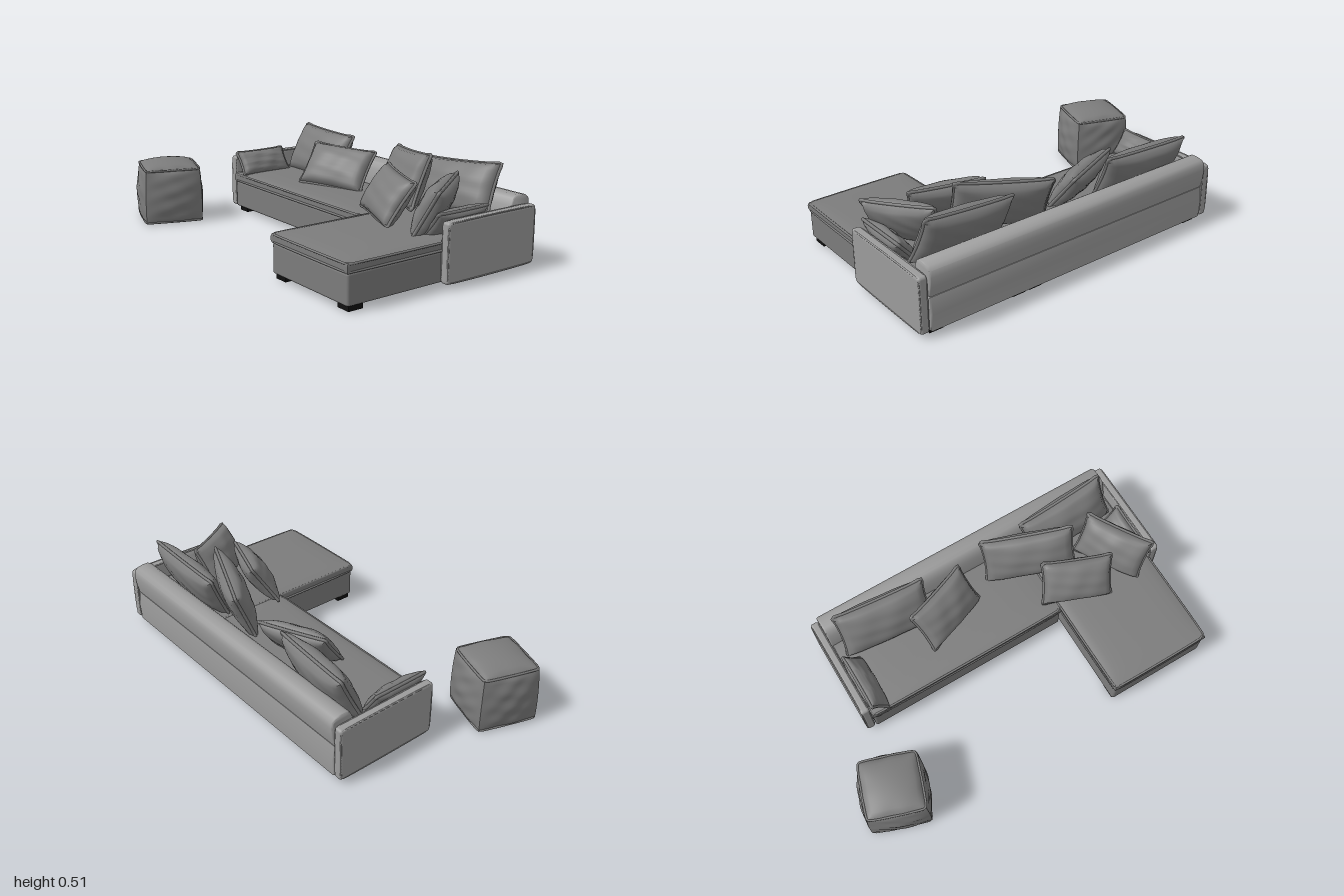
import * as THREE from 'three';
import { mergeVertices, toCreasedNormals } from 'three/addons/utils/BufferGeometryUtils.js';
import { RoundedBoxGeometry } from 'three/addons/geometries/RoundedBoxGeometry.js';

const fabric = new THREE.MeshStandardMaterial({ color: 0x7c7c7c });
const frame = new THREE.MeshStandardMaterial({ color: 0x9c9c9c });
const black = new THREE.MeshStandardMaterial({ color: 0x111111 });

// 1 in the middle, 0 at the ends; never negative, so powers stay valid
const fade = (u, n = 2) => Math.max(0, 1 - Math.abs(u) ** n);

function add(parent, name, geometry, x = 0, y = 0, z = 0, material = fabric) {
  const mesh = new THREE.Mesh(geometry, material);
  mesh.name = name;
  mesh.position.set(x, y, z);
  parent.add(mesh);
  return mesh;
}

// Rounded block given by its extents
function block(parent, name, [x0, x1], [y0, y1], [z0, z1], r, material) {
  const geo = new RoundedBoxGeometry(x1 - x0, y1 - y0, z1 - z0, 4, r);
  add(parent, name, geo, (x0 + x1) / 2, (y0 + y1) / 2, (z0 + z1) / 2, material);
}

// Closed seam cord around a rounded rectangle lying in the XY plane
function cord(w, h, corner, radius) {
  const pts = [];
  for (let c = 0; c < 4; c++) {
    const sx = c === 0 || c === 3 ? 1 : -1, sy = c < 2 ? 1 : -1;
    for (let i = 0; i <= 3; i++) {
      const a = (c + i / 3) * Math.PI / 2;
      pts.push(new THREE.Vector3(
        sx * (w / 2 - corner) + corner * Math.cos(a),
        sy * (h / 2 - corner) + corner * Math.sin(a), 0));
    }
  }
  const curve = new THREE.CatmullRomCurve3(pts, true, 'centripetal');
  return new THREE.TubeGeometry(curve, 96, radius, 6, true);
}

// Smooth a displaced box, keeping edges sharper than the angle
function smooth(geo, angle) {
  geo.deleteAttribute('uv');
  geo.deleteAttribute('normal');
  return toCreasedNormals(mergeVertices(geo, 1e-5), angle);
}

// Outline of a pillow: sides pulled in slightly between pointed corners
function pillowOutline(u, v, w, h) {
  return [u * w / 2 * (1 - 0.045 * fade(v)), v * h / 2 * (1 - 0.045 * fade(u))];
}

function pillowGeometry(w, h, t, seed) {
  const geo = new THREE.BoxGeometry(2, 2, 2, 22, 18, 1);
  const p = geo.attributes.position;
  for (let i = 0; i < p.count; i++) {
    const u = p.getX(i), v = p.getY(i), side = Math.sign(p.getZ(i));
    const dome = Math.pow(fade(u) * fade(v), 0.38);
    const crease = 0.004 * dome * Math.sin(5 * u + 4 * v * side + seed) * Math.sin(6 * v - 3 * u + seed * 2);
    const [x, y] = pillowOutline(u, v, w, h);
    p.setXYZ(i, x, y, side * (0.007 + (t / 2 - 0.007) * dome + crease));
  }
  return smooth(geo, 1.1);
}

// Pillow with a corded edge; yaw turns it, lean tips the top backwards
function pillow(parent, name, [w, h, t], [x, y, z], yaw, lean, roll, seed) {
  const g = new THREE.Group();
  g.name = name;
  g.position.set(x, y, z);
  g.rotation.set(-lean, yaw, roll, 'YXZ');
  add(g, name + 'Cover', pillowGeometry(w, h, t, seed));
  const pts = [];
  for (const [a, b, c, d] of [[-1, -1, 1, -1], [1, -1, 1, 1], [1, 1, -1, 1], [-1, 1, -1, -1]]) {
    for (let i = 0; i < 8; i++) {
      const k = i / 8;
      const [px, py] = pillowOutline(a + (c - a) * k, b + (d - b) * k, w, h);
      pts.push(new THREE.Vector3(px, py, 0));
    }
  }
  const edge = new THREE.CatmullRomCurve3(pts, true, 'centripetal');
  add(g, name + 'Cord', new THREE.TubeGeometry(edge, 96, 0.008, 6, true));
  parent.add(g);
}

// Seat section: upholstered base with a softly domed cushion and two cords
function seatSection(parent, name, xs, zs) {
  block(parent, name + 'Base', xs, [0.025, 0.17], zs, 0.012);
  const w = xs[1] - xs[0], d = zs[1] - zs[0];
  const cx = (xs[0] + xs[1]) / 2, cz = (zs[0] + zs[1]) / 2;
  const geo = new THREE.BoxGeometry(2, 2, 2, 24, 3, 24);
  const p = geo.attributes.position;
  for (let i = 0; i < p.count; i++) {
    const u = p.getX(i), s = p.getY(i), v = p.getZ(i);
    const dome = s > 0.9 ? 0.012 * Math.pow(fade(u, 4) * fade(v, 4), 0.6) : 0;
    const puff = 0.006 * fade(s);
    p.setXYZ(i, u * (w / 2 + puff), s * 0.0225 + dome, v * (d / 2 + puff));
  }
  add(parent, name + 'Cushion', smooth(geo, 0.8), cx, 0.19, cz);
  for (const y of [0.174, 0.209]) {
    add(parent, name + 'Cord', cord(w, d, 0.012, 0.006), cx, y, cz).rotation.x = Math.PI / 2;
  }
}

// Slouchy cube pouf: bulging faces, pinched corners, faint wrinkles
function pouf(parent) {
  const g = new THREE.Group();
  g.name = 'pouf';
  g.position.set(-0.803, 0, 0.37);
  g.rotation.y = -0.33;
  const geo = new THREE.BoxGeometry(2, 2, 2, 20, 20, 20);
  const p = geo.attributes.position;
  for (let i = 0; i < p.count; i++) {
    const x = p.getX(i), y = p.getY(i), z = p.getZ(i);
    const fx = fade(x), fy = fade(y), fz = fade(z);
    const wrinkle = 0.004 * Math.sin(9 * y + 3 * x - 2 * z) * Math.sin(4 * x + 5 * z + 2 * y);
    const half = 0.147 - 0.004 * y + 0.004 * fy;
    const rise = y > 0 ? 0.142 + 0.038 * Math.sqrt(fx * fz) : 0.145;
    p.setXYZ(i,
      x * (half + 0.024 * Math.sqrt(fy) * fz + wrinkle * fz),
      0.15 + y * rise,
      z * (half + 0.024 * fx * Math.sqrt(fy) + wrinkle * fx));
  }
  add(g, 'poufBody', smooth(geo, 0.9));
  add(g, 'poufTopCord', cord(0.288, 0.288, 0.02, 0.006), 0, 0.291, 0).rotation.x = Math.PI / 2;
  add(g, 'poufBottomCord', cord(0.304, 0.304, 0.02, 0.006), 0, 0.01, 0).rotation.x = Math.PI / 2;
  parent.add(g);
}

// Backrest part: side profile of [z, y] points run along x
function backPart(parent, name, profile) {
  const shape = new THREE.Shape(profile.map(([z, y]) => new THREE.Vector2(z, y)));
  const geo = new THREE.ExtrudeGeometry(shape, {
    depth: 1.64, bevelEnabled: true, bevelSize: 0.008, bevelThickness: 0.01, bevelSegments: 3,
  });
  add(parent, name, toCreasedNormals(geo, 0.9), 0.935, 0, 0, frame).rotation.y = -Math.PI / 2;
}

export function createModel() {
  const model = new THREE.Group();
  model.name = 'sectionalSofa';

  // Seats
  seatSection(model, 'mainSeat', [-0.71, 0.4], [-0.45, -0.004]);
  seatSection(model, 'chaise', [0.406, 0.948], [-0.45, 0.503]);

  // Backrest: plain base and padded upper roll
  backPart(model, 'backBase', [[-0.547, 0.033], [-0.44, 0.033], [-0.44, 0.185], [-0.545, 0.185], [-0.552, 0.11]]);
  backPart(model, 'backPad', [
    [-0.545, 0.203], [-0.44, 0.203], [-0.443, 0.25], [-0.455, 0.3], [-0.468, 0.33],
    [-0.485, 0.341], [-0.515, 0.341], [-0.543, 0.335], [-0.557, 0.322], [-0.56, 0.295], [-0.555, 0.245],
  ]);

  // Arms with corded faces
  for (const [name, x] of [['leftArm', 0.973], ['rightArm', -0.737]]) {
    block(model, name, [x - 0.023, x + 0.023], [0.025, 0.306], [-0.557, -0.007], 0.014, frame);
    for (const s of [-1, 1]) {
      add(model, name + 'Cord', cord(0.536, 0.268, 0.015, 0.004), x + s * 0.019, 0.1655, -0.282, frame).rotation.y = Math.PI / 2;
    }
  }

  // Feet
  for (const [x, z] of [[-0.66, -0.06], [-0.66, -0.49], [0.355, -0.06], [0.355, -0.49],
    [0.45, -0.49], [0.9, -0.49], [0.45, 0.45], [0.9, 0.45]]) {
    add(model, 'foot', new THREE.BoxGeometry(0.072, 0.03, 0.075), x, 0.015, z, black);
  }

  // Pillows: size, position, yaw, lean, roll, crease seed
  pillow(model, 'largeBackPillow', [0.48, 0.27, 0.14], [-0.42, 0.333, -0.385], -0.08, 0.45, -0.01, 1);
  pillow(model, 'middlePillow', [0.37, 0.24, 0.12], [-0.125, 0.316, -0.275], 0.4, 0.66, -0.06, 2);
  pillow(model, 'tallPillow', [0.47, 0.27, 0.13], [0.38, 0.358, -0.3], -0.42, 0.37, 0.09, 3);
  pillow(model, 'cornerBackPillow', [0.48, 0.26, 0.14], [0.652, 0.35, -0.38], 0, 0.42, 0.09, 4);
  pillow(model, 'frontPillow', [0.36, 0.24, 0.12], [0.525, 0.327, -0.065], -0.32, 0.58, -0.07, 5);
  pillow(model, 'sidePillow', [0.36, 0.24, 0.13], [0.785, 0.328, -0.125], -0.97, 0.5, -0.06, 6);
  pillow(model, 'leftArmPillow', [0.3, 0.15, 0.08], [0.883, 0.272, -0.155], -Math.PI / 2, 0.7, 0, 7);
  pillow(model, 'rightArmPillow', [0.3, 0.14, 0.08], [-0.66, 0.272, -0.155], Math.PI / 2, 0.6, 0, 8);

  pouf(model);
  return model;
}
